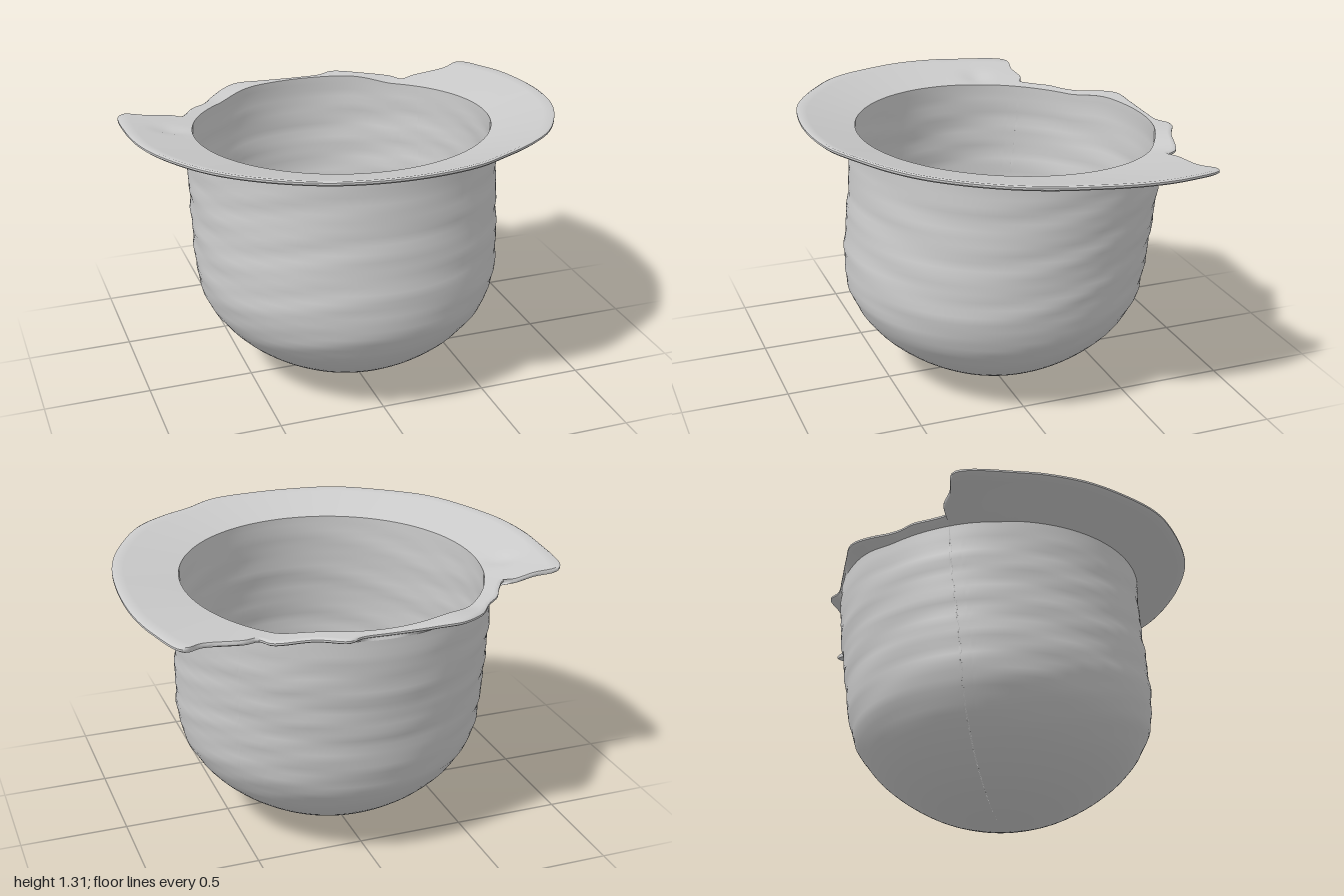
import * as THREE from 'three';
import { toCreasedNormals } from 'three/addons/utils/BufferGeometryUtils.js';

const CZ = -0.095, R_OUT = 0.725, R_IN = 0.695;
const { smoothstep, lerp } = THREE.MathUtils;

// Broken brim outline seen from above (x, z), from the left-hand tear round the front
const OUTLINE = [
  [-0.7, -0.44], [-0.74, -0.47], [-0.85, -0.462], [-0.965, -0.47], [-1, -0.18], [-0.97, 0.1], [-0.88, 0.33],
  [-0.76, 0.52], [-0.6, 0.66], [-0.4, 0.78], [-0.27, 0.825], [0, 0.855], [0.3, 0.82], [0.45, 0.74],
  [0.6, 0.66], [0.75, 0.54], [0.9, 0.3], [0.97, 0.1], [1, -0.15], [0.99, -0.4], [0.95, -0.57],
  [0.87, -0.74], [0.78, -0.70], [0.6, -0.69], [0.53, -0.67], [0.49, -0.73], [0.33, -0.79],
  [0.2, -0.855], [0.13, -0.825], [0, -0.825], [-0.2, -0.83], [-0.33, -0.825], [-0.45, -0.74],
  [-0.54, -0.63], [-0.6, -0.58], [-0.65, -0.5],
];

// Bowl profile (radius, height)
const PROFILE = [
  [0, 0], [0.13, 0.013], [0.24, 0.045], [0.37, 0.1], [0.52, 0.2], [0.62, 0.3], [0.683, 0.4],
  [0.712, 0.5], [0.721, 0.6], [0.725, 0.9], [0.725, 1.2],
];

// One column per outline sample: its direction and the brim radius there
const columns = new THREE.CatmullRomCurve3(
  OUTLINE.map(([x, z]) => new THREE.Vector3(x, 0, z)), true, 'centripetal',
).getSpacedPoints(300).slice(0, 300).map((p) => {
  const r = Math.hypot(p.x, p.z - CZ);
  return { c: p.x / r, s: (p.z - CZ) / r, a: Math.atan2(p.z - CZ, p.x), r };
});

const profile = new THREE.CatmullRomCurve3(
  PROFILE.map(([r, y]) => new THREE.Vector3(r, y, 0)), false, 'centripetal',
).getSpacedPoints(44);

// Height of the brim's upper face: tilted back, flaring upward
function brimTop(col, r) {
  const z = CZ + R_IN * col.s;
  const base = 1.21 + 0.05 * z - 0.02 * z * z + 0.035 * smoothstep(-col.s, 0.75, 0.95);
  const slope = 0.2 + (col.s > 0 ? 0.1 : 0.2) * col.s;
  const dx = r * col.c + 0.78, dz = CZ + r * col.s + 0.24;
  const dent = 0.015 * Math.exp(-(dx * dx + dz * dz) / 0.004);
  return base + slope * (r - R_IN) - dent;
}

// Hand-worked ripples on the walls
function ripple(a, y) {
  return 0.0025 * smoothstep(y, 0.15, 0.5) * (1 - smoothstep(y, 1.05, 1.2))
    * (Math.sin(34 * y + 2 * Math.sin(3 * a)) + Math.sin(61 * y + 3 * Math.sin(2 * a + 1) + 5 * a));
}

// The centre drifts backward toward the rim
const centreZ = (y) => lerp(-0.04, CZ, smoothstep(y, 0.45, 1.15));

function wallSection(col, inner) {
  const top = inner ? brimTop(col, R_IN) : brimTop(col, R_OUT) - 0.035;
  const pts = profile.map((p) => {
    const y = p.y < 0.6 ? p.y : lerp(0.6, top, (p.y - 0.6) / 0.6);
    const r = p.x * (inner ? R_IN / R_OUT : 1) + (p.x > 0 ? ripple(col.a, p.y) : 0);
    const h = inner ? y + 0.035 * (1 - p.y / 1.2) : y;
    return [r, h, centreZ(p.y)];
  });
  return inner ? pts.reverse() : pts;
}

// Underside, rounded broken edge, then upper face back to the opening
function brimSection(col) {
  const pts = [], N = 7, edge = col.r - 0.01;
  for (let i = 0; i <= N; i++) {
    const r = lerp(R_OUT, edge, i / N);
    pts.push([r, brimTop(col, r) - lerp(0.035, 0.022, i / N), CZ]);
  }
  pts.push([col.r, brimTop(col, col.r) - 0.016, CZ], [col.r, brimTop(col, col.r) - 0.007, CZ]);
  for (let i = 0; i <= N; i++) {
    const r = lerp(edge, R_IN, i / N);
    pts.push([r, brimTop(col, r), CZ]);
  }
  return pts;
}

// Skin the sections of all columns into a closed ring
function loft(section) {
  const pos = [], index = [], n = columns.length;
  let m = 0;
  for (const col of columns) {
    const pts = section(col);
    m = pts.length;
    for (const [r, y, cz] of pts) pos.push(r * col.c, y, cz + r * col.s);
  }
  for (let i = 0; i < n; i++) {
    const k = (i + 1) % n;
    for (let j = 0; j < m - 1; j++) {
      const a = i * m + j, b = k * m + j;
      index.push(a, b, b + 1, a, b + 1, a + 1);
    }
  }
  const g = new THREE.BufferGeometry();
  g.setAttribute('position', new THREE.Float32BufferAttribute(pos, 3));
  g.setIndex(index);
  g.computeVertexNormals();
  return g;
}

export function createModel() {
  const group = new THREE.Group();
  group.name = 'brokenBowl';
  const material = new THREE.MeshStandardMaterial({ color: 0xcccccc, side: THREE.DoubleSide });
  const add = (name, geometry) => {
    const mesh = new THREE.Mesh(geometry, material);
    mesh.name = name;
    group.add(mesh);
  };
  add('outerWall', loft((col) => wallSection(col, false)));
  add('brokenBrim', toCreasedNormals(loft(brimSection), 0.8));
  add('innerWall', loft((col) => wallSection(col, true)));
  return group;
}
